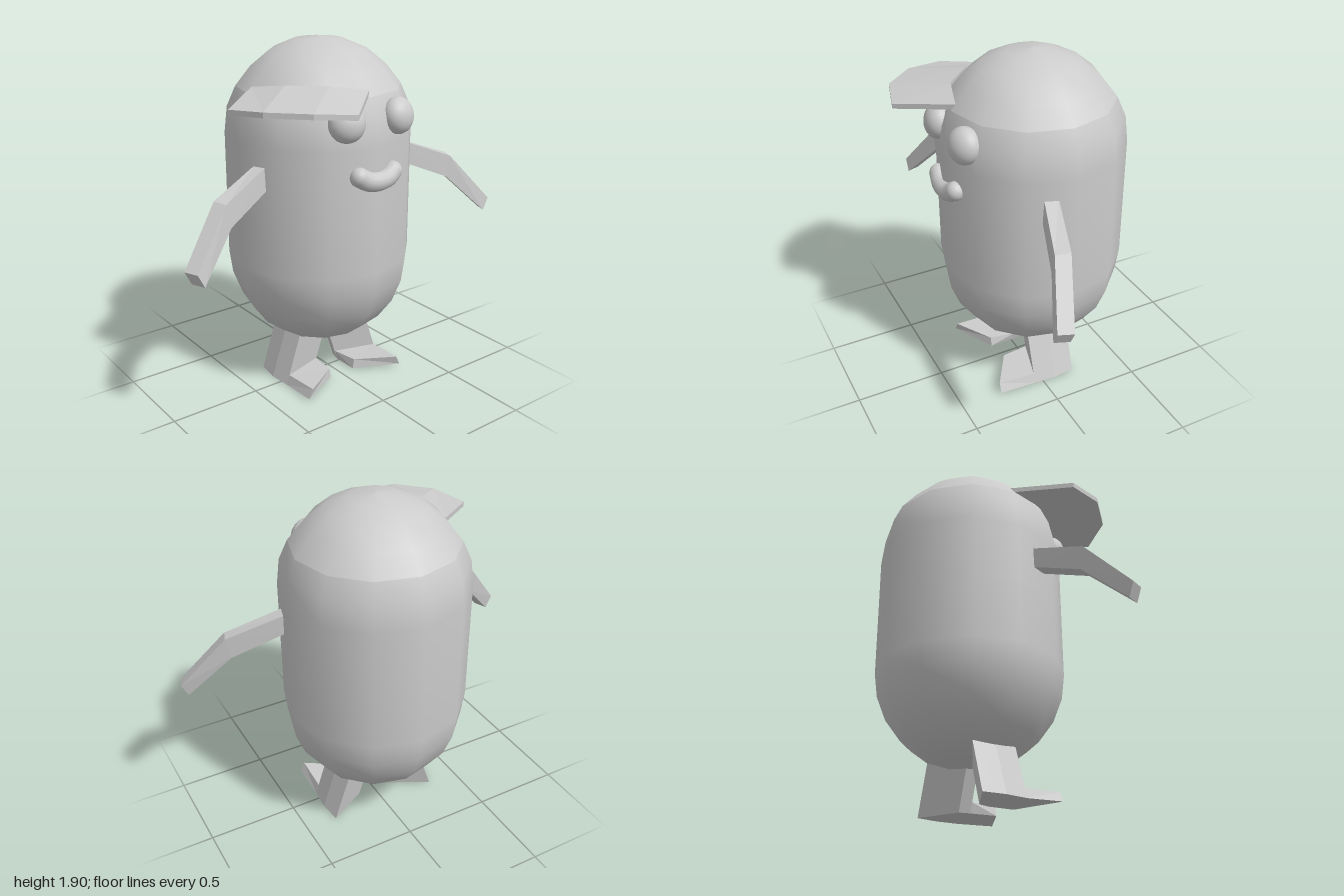
import * as THREE from 'three';

const smooth = new THREE.MeshStandardMaterial({ color: 0xcccccc });
const faceted = new THREE.MeshStandardMaterial({ color: 0xcccccc, flatShading: true });

function add(group, name, geometry, material = smooth) {
  const mesh = new THREE.Mesh(geometry, material);
  mesh.name = name;
  group.add(mesh);
  return mesh;
}

// Closed, faceted solid through matching loops of corners, always facing outward
function loft(sections) {
  const tris = [];
  const n = sections[0].length;
  for (let s = 0; s < sections.length - 1; s++) {
    const a = sections[s], b = sections[s + 1];
    for (let i = 0; i < n; i++) {
      const j = (i + 1) % n;
      tris.push([a[i], a[j], b[j]], [a[i], b[j], b[i]]);
    }
  }
  const first = sections[0], last = sections[sections.length - 1];
  for (let i = 1; i < n - 1; i++) {
    tris.push([first[0], first[i + 1], first[i]], [last[0], last[i], last[i + 1]]);
  }
  const v = (p) => new THREE.Vector3(...p);
  const origin = v(first[0]);
  let volume = 0;
  for (const [a, b, c] of tris) {
    volume += v(a).sub(origin).dot(v(b).sub(origin).cross(v(c).sub(origin)));
  }
  if (volume < 0) tris.forEach((t) => t.reverse());
  const geometry = new THREE.BufferGeometry();
  geometry.setAttribute('position', new THREE.Float32BufferAttribute(tris.flat(2), 3));
  geometry.computeVertexNormals();
  return geometry;
}

function lathe(points) {
  return new THREE.LatheGeometry(points.map(([r, y]) => new THREE.Vector2(r, y)), 12);
}

function addArm(group, side) {
  const p = (x, y, z) => [side * x, y, z];
  add(group, side > 0 ? 'leftArm' : 'rightArm', loft([
    [p(0.465, 1.3, 0.01), p(0.455, 1.3, 0.085), p(0.45, 1.18, 0.09), p(0.465, 1.19, 0.015)],
    [p(0.77, 1.19, 0.11), p(0.745, 1.185, 0.185), p(0.72, 1.065, 0.185), p(0.745, 1.07, 0.11)],
    [p(1.0, 0.915, 0.215), p(0.97, 0.915, 0.29), p(0.935, 0.845, 0.29), p(0.965, 0.845, 0.215)],
  ]), faceted);
}

function addLeg(group, side) {
  // Floor plan of the leg: outer back, outer middle, outer front, inner front, inner back
  const plan = [[0.32, -0.2], [0.335, -0.075], [0.325, 0.05], [0.085, -0.02], [0.1, -0.08]];
  const level = (y) => plan.map(([x, z]) => [side * (x - 0.33 * y), y, z]);
  add(group, side > 0 ? 'leftLeg' : 'rightLeg', loft([level(0), level(0.285)]), faceted);

  const p = (x, y, z) => [side * x, y, z];
  add(group, side > 0 ? 'leftFoot' : 'rightFoot', loft([
    [p(0.325, 0, 0.05), p(0.307, 0.055, 0.05), p(0.07, 0.055, -0.02), p(0.085, 0, -0.02)],
    [p(0.325, 0.012, 0.265), p(0.3, 0.065, 0.265), p(0.09, 0.06, 0.135), p(0.08, 0.005, 0.135)],
  ]), faceted);
}

export function createModel() {
  const group = new THREE.Group();

  // Rounded body and the cap dome on top share one axis
  const torso = [[0, 0.21], [0.13, 0.223], [0.255, 0.27], [0.36, 0.35], [0.44, 0.46],
    [0.49, 0.59], [0.507, 0.72], [0.507, 1.05], [0.507, 1.4], [0.49, 1.54], [0.443, 1.645]];
  const dome = [[0.443, 1.645], [0.36, 1.75], [0.255, 1.835], [0.13, 1.887], [0, 1.902]];
  add(group, 'body', lathe(torso)).position.z = -0.08;
  add(group, 'capDome', lathe(dome)).position.z = -0.08;

  // Cap brim turned to one side: each section runs from the inner to the outer rim
  const brim = [
    { inner: [-0.42, 1.65, -0.08], outer: [-0.69, 1.605, 0.14] },
    { inner: [-0.36, 1.68, 0.13], outer: [-0.63, 1.62, 0.35] },
    { inner: [-0.2, 1.68, 0.28], outer: [-0.47, 1.62, 0.52] },
    { inner: [0, 1.65, 0.34], outer: [-0.26, 1.6, 0.58] },
  ];
  const raise = ([x, y, z]) => [x, y + 0.027, z];
  add(group, 'capBrim', loft(brim.map(({ inner, outer }) =>
    [inner, raise(inner), raise(outer), outer])), faceted);

  // Bulging eyes
  for (const side of [-1, 1]) {
    const eye = add(group, side > 0 ? 'leftEye' : 'rightEye', new THREE.SphereGeometry(0.096, 24, 16));
    eye.scale.z = 0.78;
    eye.position.set(side * 0.166, 1.533, 0.372);
    eye.rotation.set(-0.2, side * 0.3, 0);
  }

  // Smiling mouth: a curved tube with rounded ends
  const path = [[-0.108, 1.26, 0.405], [-0.06, 1.233, 0.415], [0, 1.225, 0.42],
    [0.06, 1.233, 0.415], [0.108, 1.26, 0.405]].map((p) => new THREE.Vector3(...p));
  const mouth = new THREE.Group();
  mouth.name = 'mouth';
  group.add(mouth);
  add(mouth, 'lips', new THREE.TubeGeometry(new THREE.CatmullRomCurve3(path), 20, 0.051, 14));
  for (const end of [path[0], path[4]]) {
    add(mouth, 'mouthCorner', new THREE.SphereGeometry(0.051, 16, 12)).position.copy(end);
  }

  for (const side of [-1, 1]) {
    addArm(group, side);
    addLeg(group, side);
  }
  return group;
}
